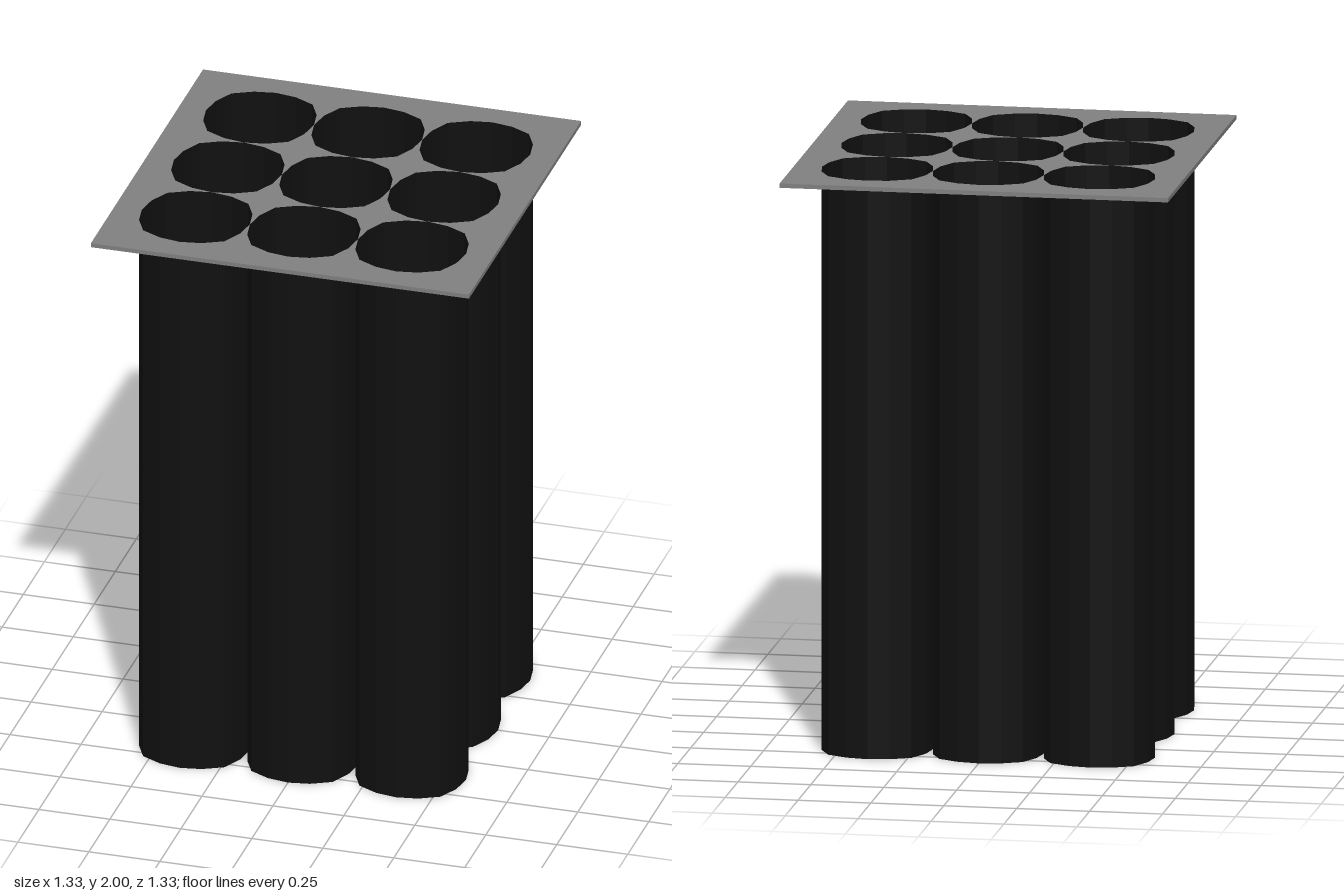
import * as THREE from 'three';

const PITCH = 0.381, RADIUS = 0.19, SIDES = 16;
const HALF = 0.666, HEIGHT = 2, THICK = 0.015;

// Slightly squared circle: the diagonals bulge outwards
const bulge = (i) => [1, 1.0126, 1.064, 1.0126][i % 4];

function outline(cx, cy, r) {
  const points = [];
  for (let i = 0; i < SIDES; i++) {
    const a = (i / SIDES) * Math.PI * 2;
    points.push(new THREE.Vector2(cx + Math.cos(a) * r * bulge(i), cy + Math.sin(a) * r * bulge(i)));
  }
  return points;
}

// Open-ended tube wall with the squared section
function tubeGeometry() {
  const geo = new THREE.CylinderGeometry(RADIUS, RADIUS, HEIGHT, SIDES, 1, true);
  const pos = geo.attributes.position;
  for (let i = 0; i < pos.count; i++) {
    const k = bulge(i % (SIDES + 1));
    pos.setX(i, pos.getX(i) * k);
    pos.setZ(i, pos.getZ(i) * k);
  }
  geo.translate(0, HEIGHT / 2, 0);
  geo.computeVertexNormals();
  return geo;
}

export function createModel() {
  const model = new THREE.Group();
  model.name = 'tubeRack';
  const plateMat = new THREE.MeshStandardMaterial({ color: 0x808080 });
  const tubeMat = new THREE.MeshStandardMaterial({ color: 0x101010, side: THREE.DoubleSide, flatShading: true });

  const plateShape = new THREE.Shape([
    new THREE.Vector2(-HALF, -HALF), new THREE.Vector2(HALF, -HALF),
    new THREE.Vector2(HALF, HALF), new THREE.Vector2(-HALF, HALF),
  ]);

  // Three by three grid of tubes, each with a hole in the plate
  const tubes = new THREE.Group();
  tubes.name = 'tubes';
  const geo = tubeGeometry();
  for (let row = -1; row <= 1; row++) {
    for (let col = -1; col <= 1; col++) {
      const tube = new THREE.Mesh(geo, tubeMat);
      tube.name = 'tube';
      tube.position.set(col * PITCH, 0, row * PITCH);
      tubes.add(tube);
      plateShape.holes.push(new THREE.Path(outline(col * PITCH, row * PITCH, RADIUS + 0.0002)));
    }
  }

  // Thin square top plate
  const plateGeo = new THREE.ExtrudeGeometry(plateShape, { depth: THICK, bevelEnabled: false });
  plateGeo.rotateX(-Math.PI / 2);
  const plate = new THREE.Mesh(plateGeo, plateMat);
  plate.name = 'topPlate';
  plate.position.y = HEIGHT - THICK;

  model.add(tubes, plate);
  return model;
}
